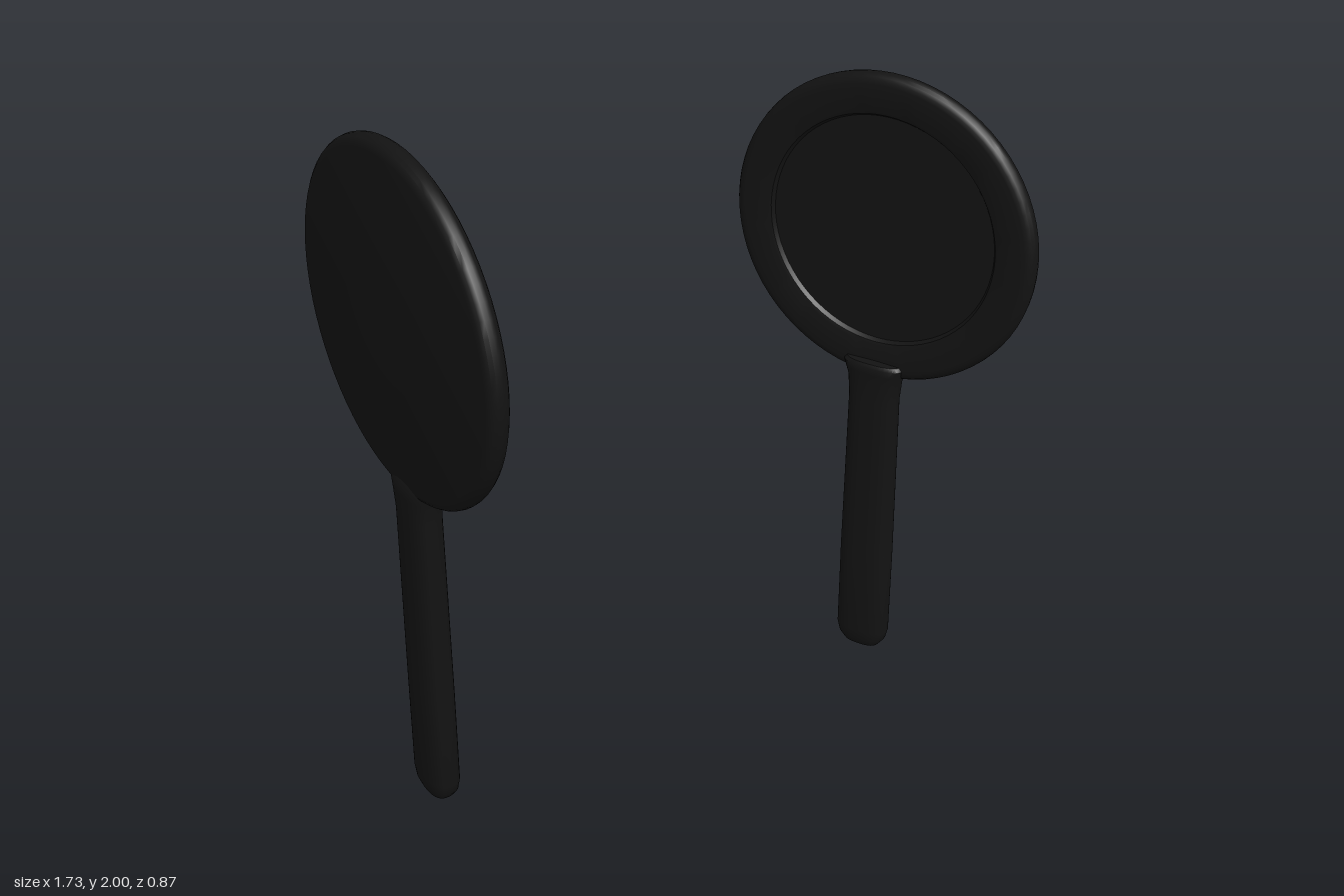
import * as THREE from 'three';
import { toCreasedNormals } from 'three/addons/utils/BufferGeometryUtils.js';

const material = new THREE.MeshStandardMaterial({ color: 0x131313 });

// Round head: flat back, rounded rim, shallow recess in the front
function headGeometry() {
  const pts = [[0, -0.028], [0.408, -0.028]];
  for (let i = 1; i < 8; i++) {
    const a = -Math.PI / 2 + (Math.PI * i) / 8;
    pts.push([0.408 + 0.027 * Math.cos(a), 0.028 * Math.sin(a)]);
  }
  pts.push([0.408, 0.028], [0.335, 0.026], [0.327, 0.023], [0.32, 0.012], [0, 0.012]);
  const g = new THREE.LatheGeometry(pts.map(([x, y]) => new THREE.Vector2(x, y)), 72);
  g.rotateX(Math.PI / 2);
  return toCreasedNormals(g, 0.6);
}

// Handle: rounded cross-sections [y, half width, back z, front z], bottom to top
function handleGeometry() {
  const sections = [
    [-1.327, 0, 0.01, 0.01], [-1.327, 0.03, -0.007, 0.027], [-1.317, 0.052, -0.02, 0.04],
    [-1.295, 0.069, -0.028, 0.048], [-1.265, 0.076, -0.031, 0.052], [-1.0, 0.076, -0.031, 0.052],
    [-0.5, 0.071, -0.031, 0.051], [-0.44, 0.076, -0.034, 0.052], [-0.415, 0.084, -0.034, 0.054],
    [-0.395, 0.088, -0.026, 0.056], [-0.385, 0.08, -0.02, 0.05], [-0.382, 0, 0.015, 0.015],
  ];
  const n = 32, pos = [], idx = [];
  const soft = (v) => Math.sign(v) * Math.abs(v) ** 0.75;
  sections.forEach(([y, w, back, front], j) => {
    for (let i = 0; i < n; i++) {
      const a = (i / n) * Math.PI * 2;
      pos.push(w * soft(Math.sin(a)), y, (front + back) / 2 + ((front - back) / 2) * soft(Math.cos(a)));
      if (j === 0) continue;
      const k = (i + 1) % n, p = (j - 1) * n, q = j * n;
      idx.push(p + i, p + k, q + k, p + i, q + k, q + i);
    }
  });
  const g = new THREE.BufferGeometry();
  g.setAttribute('position', new THREE.Float32BufferAttribute(pos, 3));
  g.setIndex(idx);
  return toCreasedNormals(g, 0.8);
}

export function createModel() {
  const model = new THREE.Group();
  const headGeo = headGeometry(), handleGeo = handleGeometry();

  // Two paddles with their recessed faces turned towards each other
  const placements = [
    ['rightPaddle', -0.8, 1.565, 1.473],
    ['leftPaddle', 0.706, 1.327, -1.242],
  ];
  for (const [name, x, y, turn] of placements) {
    const paddle = new THREE.Group();
    paddle.name = name;
    const head = new THREE.Mesh(headGeo, material);
    head.name = 'head';
    const handle = new THREE.Mesh(handleGeo, material);
    handle.name = 'handle';
    paddle.add(head, handle);
    paddle.position.set(x, y, 0);
    paddle.rotation.y = turn;
    model.add(paddle);
  }
  return model;
}
